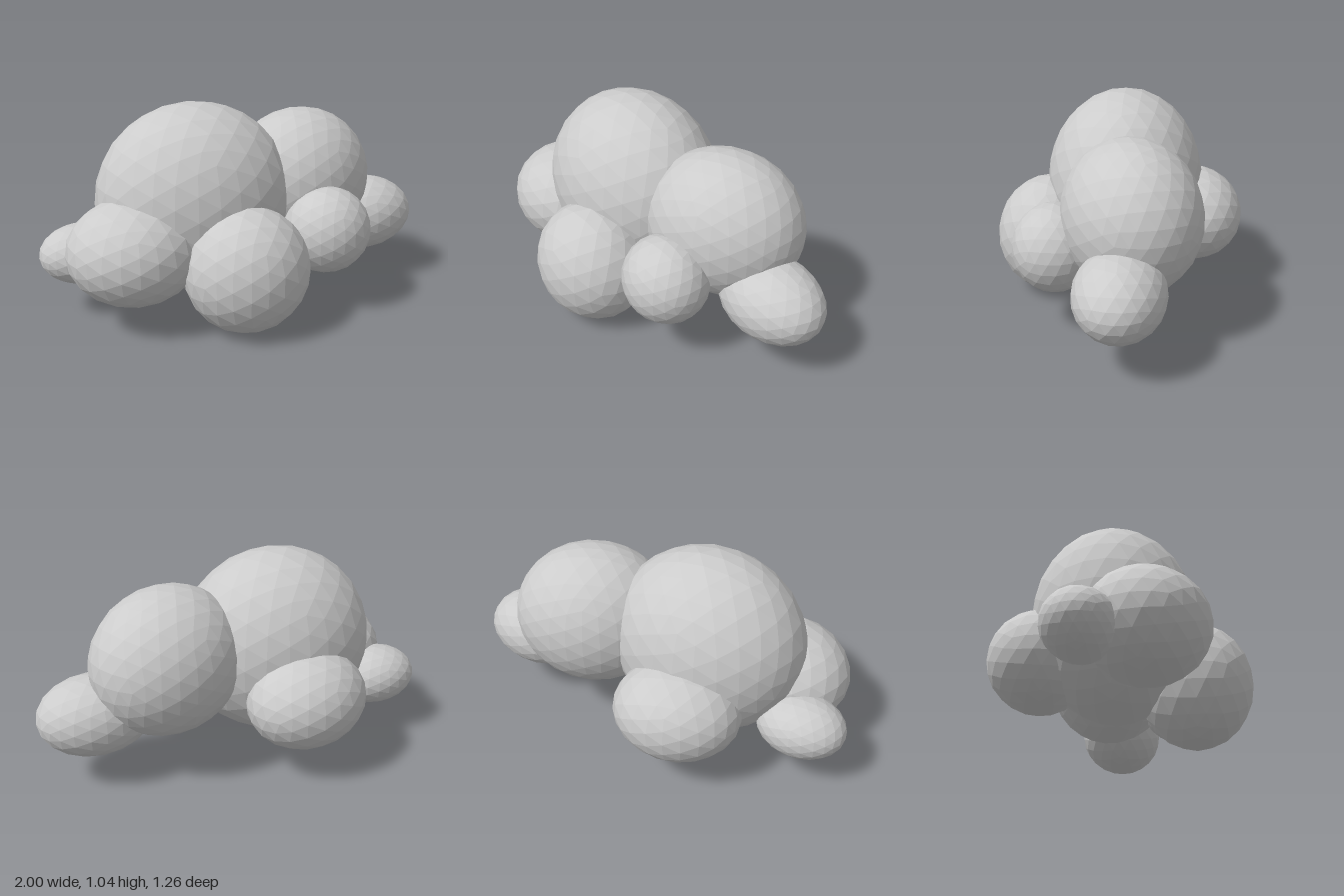
import * as THREE from 'three';

const material = new THREE.MeshStandardMaterial({ color: 0xcccccc, flatShading: true });

// One faceted ellipsoid puff: centre, radii, turn about y, tilt about z
function puff(name, centre, radii, detail, turn = 0, tilt = 0) {
  const mesh = new THREE.Mesh(new THREE.IcosahedronGeometry(1, detail), material);
  mesh.name = name;
  mesh.position.set(...centre);
  mesh.scale.set(...radii);
  mesh.rotation.set(0, turn, tilt);
  return mesh;
}

export function createModel() {
  const cloud = new THREE.Group();
  cloud.name = 'cloud';
  cloud.add(
    // Two large upper puffs
    puff('mainPuff', [-0.24, 0.57, -0.02], [0.49, 0.47, 0.40], 4),
    puff('leftUpperPuff', [0.355, 0.585, -0.095], [0.40, 0.365, 0.33], 4, 0.35),
    // Front row
    puff('frontPuff', [-0.105, 0.305, 0.355], [0.305, 0.305, 0.275], 3),
    puff('frontLeftPuff', [0.35, 0.415, 0.265], [0.22, 0.215, 0.205], 3),
    puff('frontRightPuff', [-0.595, 0.388, 0.145], [0.32, 0.258, 0.295], 3, -0.15),
    // Side tips
    puff('leftTipPuff', [0.715, 0.355, -0.07], [0.285, 0.197, 0.213], 3),
    puff('rightTipPuff', [-0.78, 0.31, -0.12], [0.22, 0.15, 0.172], 3),
    // Back
    puff('backPuff', [-0.25, 0.39, -0.375], [0.31, 0.24, 0.255], 3, 0.2),
  );
  return cloud;
}
